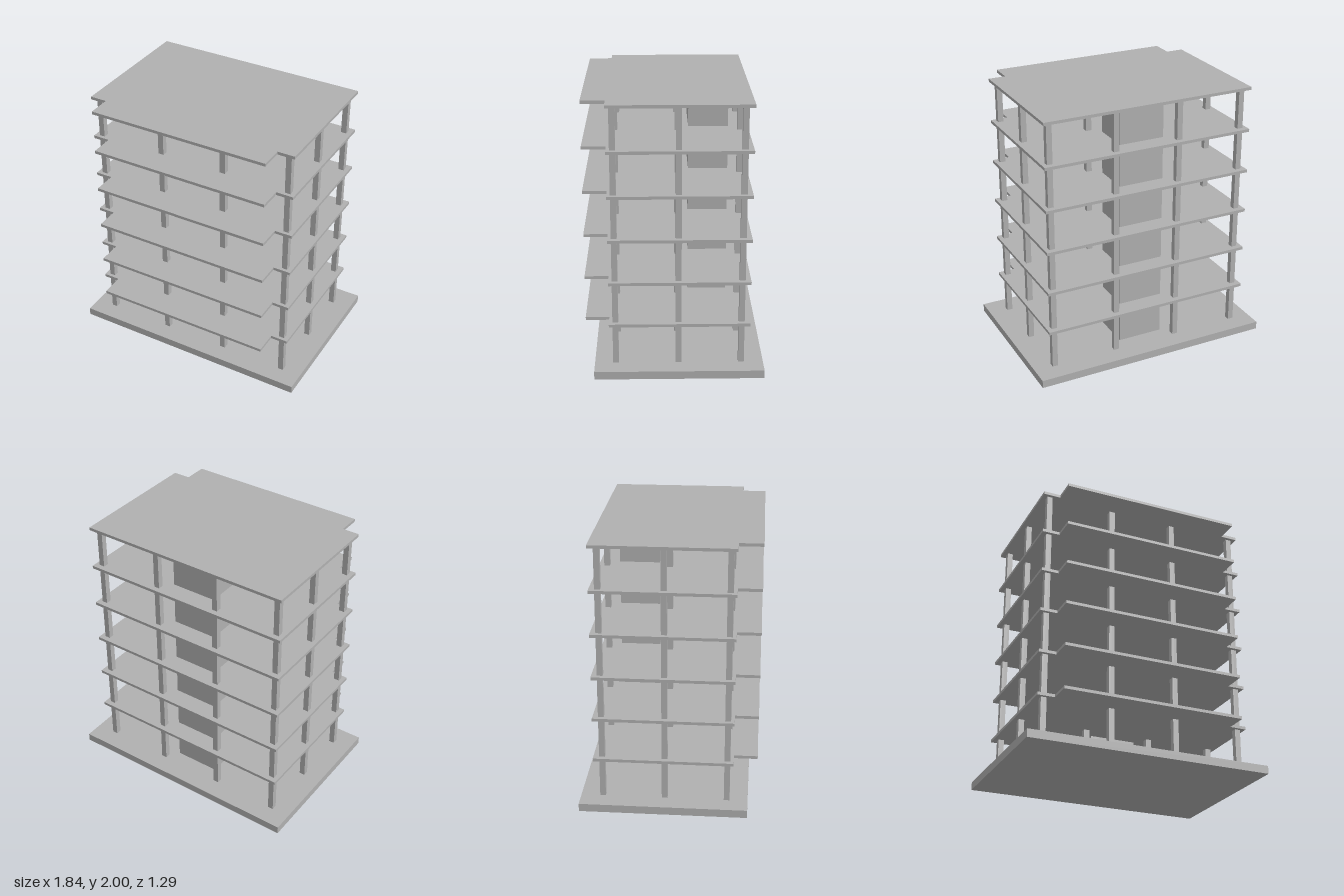
import * as THREE from 'three';

export function createModel() {
  const model = new THREE.Group();
  model.name = 'buildingFrame';
  const concrete = new THREE.MeshStandardMaterial({ color: 0xb0b0b0 });
  concrete.name = 'concrete';

  const add = (name, geometry, x = 0, y = 0, z = 0) => {
    const mesh = new THREE.Mesh(geometry, concrete);
    mesh.name = name;
    mesh.position.set(x, y, z);
    model.add(mesh);
  };

  const baseTop = 0.06, slabThickness = 0.022, storey = 0.3235, floors = 6;
  const wallHeight = 2 - slabThickness - baseTop;
  const wallY = baseTop + wallHeight / 2;

  // Foundation plate
  add('foundation', new THREE.BoxGeometry(1.836, baseTop, 1.226), 0, baseTop / 2, -0.033);

  // Floor slabs with a balcony projecting at the front (outline in x, -z)
  const outline = [
    [-0.816, 0.546], [-0.816, -0.473], [-0.688, -0.473], [-0.688, -0.645],
    [0.682, -0.645], [0.682, -0.473], [0.811, -0.473], [0.811, 0.546],
  ];
  const shape = new THREE.Shape(outline.map(([x, y]) => new THREE.Vector2(x, y)));
  const slab = new THREE.ExtrudeGeometry(shape, { depth: slabThickness, bevelEnabled: false });
  slab.rotateX(-Math.PI / 2);
  for (let i = 0; i < floors; i++) {
    add(i === 0 ? 'roofSlab' : 'floorSlab', slab, 0, 2 - slabThickness - i * storey, 0);
  }

  // Grid of columns, four across and three deep
  const column = new THREE.BoxGeometry(0.042, wallHeight, 0.042);
  for (const x of [-0.761, -0.254, 0.249, 0.756]) {
    for (const z of [-0.485, -0.029, 0.427]) add('column', column, x, wallY, z);
  }

  // Lift and stair core
  add('core', new THREE.BoxGeometry(0.346, wallHeight, 0.292), -0.002, wallY, -0.257);

  return model;
}
